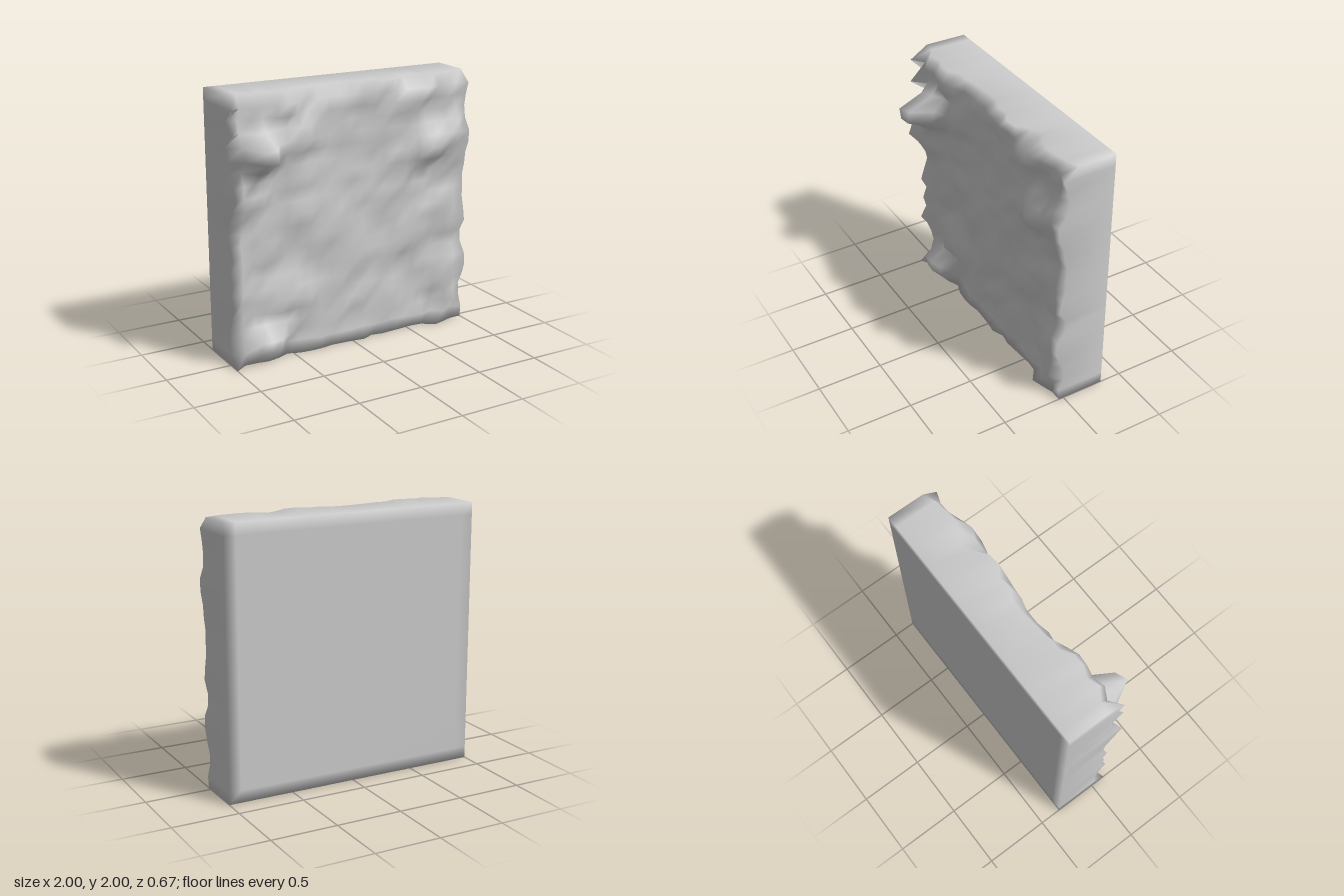
import * as THREE from 'three';
import { mergeVertices } from 'three/addons/utils/BufferGeometryUtils.js';

const { lerp, smoothstep } = THREE.MathUtils;
const CELLS = 22, BACK = -0.333;

// Rock bumps: x, y, height, radius in x, radius in y
const BUMPS = [
  [-0.77, 1.59, 0.27, 0.2, 0.2],
  [-0.92, 1.28, 0.08, 0.25, 0.25],
  [-0.45, 1.64, 0.08, 0.2, 0.16],
  [-0.48, 1.37, 0.06, 0.25, 0.12],
  [0.70, 1.46, 0.1, 0.25, 0.17],
  [0.90, 1.55, 0.05, 0.18, 0.2],
  [0.45, 1.36, 0.04, 0.25, 0.12],
  [-0.75, 0.14, 0.13, 0.24, 0.16],
  [-0.52, 0.42, 0.04, 0.25, 0.25],
  [0.86, 0.28, 0.05, 0.18, 0.3],
  [-0.70, 1.88, 0.05, 0.4, 0.15],
  [0.60, 1.86, 0.04, 0.5, 0.13],
];

// Spikes and notches along the two upright edges: side, y, height
const EDGE_SPIKES = [
  [-1, 1.91, 0.07], [-1, 1.73, 0.13], [-1, 1.27, 0.06], [-1, 0.82, 0.03],
  [-1, 0.45, 0.06], [-1, 0, 0.09], [1, 1.64, -0.07],
];

// Repeatable value from 0 to 1 for a grid point
function hash(i, j) {
  const s = Math.sin(i * 127.1 + j * 311.7) * 43758.5453;
  return s - Math.floor(s);
}

// Smoothly interpolated noise
function noise(x, y) {
  const i = Math.floor(x), j = Math.floor(y);
  const u = smoothstep(x - i, 0, 1), v = smoothstep(y - j, 0, 1);
  return lerp(lerp(hash(i, j), hash(i + 1, j), u), lerp(hash(i, j + 1), hash(i + 1, j + 1), u), v);
}

function rockHeight(x, y) {
  const rough = 0.75 + 0.6 * Math.abs(x) * Math.abs(y - 0.8);
  let z = 0.035 + rough * 0.06 * (noise(x * 4 + 20, y * 6 + 7) - 0.5);
  z += rough * 0.055 * (hash(Math.round(x * 11) + 30, Math.round(y * 11) + 3) - 0.5);
  for (const [bx, by, h, rx, ry] of BUMPS) {
    const d = Math.hypot((x - bx) / rx, (y - by) / ry);
    z += h * (1 - smoothstep(d, 0.3, 1));
  }
  // Ragged rim, set back along the top
  if (y > 1.99) z += 0.07 * (hash(Math.round(x * 11), 50) - 0.95);
  for (const [side, sy, h] of EDGE_SPIKES) {
    if (x * side > 0.99) z += h * Math.max(0, 1 - Math.abs(y - sy) / 0.1);
  }
  return Math.min(z, 0.333);
}

export function createModel() {
  const group = new THREE.Group();

  // Slab with a flat back and straight sides
  let geometry = new THREE.BoxGeometry(2, 2, -BACK, CELLS, CELLS, 1);
  geometry.translate(0, 1, BACK / 2);
  geometry.deleteAttribute('normal');
  geometry.deleteAttribute('uv');
  geometry = mergeVertices(geometry, 1e-4);

  // Push the front face out into rough rock
  const p = geometry.attributes.position;
  for (let i = 0; i < p.count; i++) {
    if (p.getZ(i) > -0.001) p.setZ(i, rockHeight(p.getX(i), p.getY(i)));
  }
  geometry.computeVertexNormals();

  const slab = new THREE.Mesh(geometry, new THREE.MeshStandardMaterial({ color: 0xcccccc }));
  slab.name = 'rockWallSlab';
  group.add(slab);
  return group;
}
